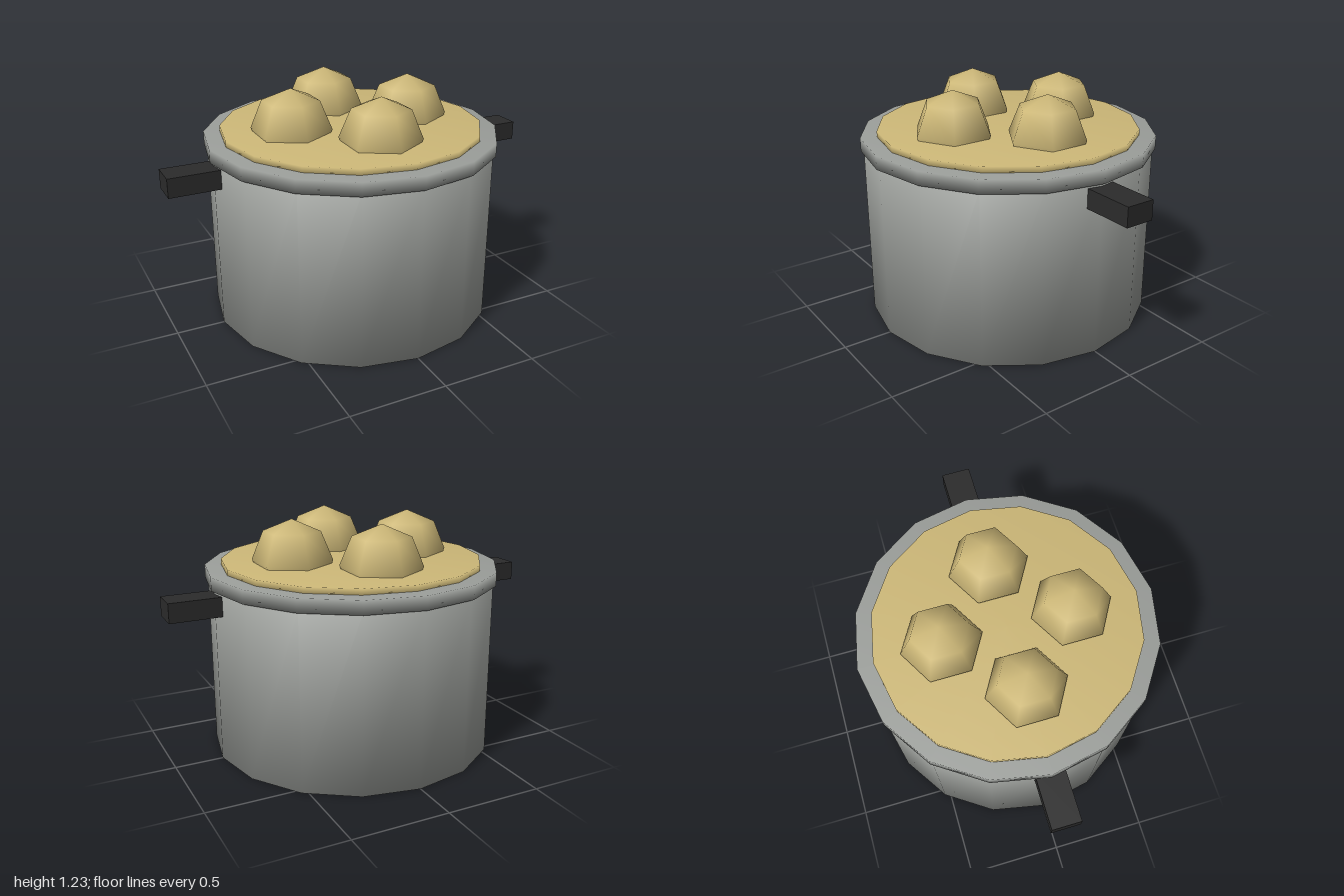
import * as THREE from 'three';
import { mergeVertices } from 'three/addons/utils/BufferGeometryUtils.js';

const mat = (name, color) => {
  const m = new THREE.MeshStandardMaterial({ color });
  m.name = name;
  return m;
};

// Cylinder with normals shared between wall and caps, standing from y0 to y1
function softDrum(radius, y0, y1) {
  let g = new THREE.CylinderGeometry(radius, radius, y1 - y0, 16);
  g.deleteAttribute('uv');
  g.deleteAttribute('normal');
  g = mergeVertices(g);
  g.computeVertexNormals();
  return g.translate(0, (y0 + y1) / 2, 0);
}

export function createModel() {
  const steel = mat('steel grey', 0x9b9e9a);
  const stew = mat('stew tan', 0xcdb878);
  const black = mat('handle black', 0x2b2b2b);

  const pot = new THREE.Group();
  pot.name = 'stewPot';
  const add = (name, geometry, material, x = 0, y = 0, z = 0) => {
    const mesh = new THREE.Mesh(geometry, material);
    mesh.name = name;
    mesh.position.set(x, y, z);
    pot.add(mesh);
    return mesh;
  };

  // Pot wall, rim and the filling on top
  add('potBody', softDrum(0.75, 0, 0.91), steel);
  add('rim', softDrum(0.765, 0.9, 0.97), steel);
  add('filling', softDrum(0.68, 0.95, 1.0), stew);

  // Side handles
  const handle = new THREE.BoxGeometry(0.3, 0.1, 0.15);
  add('leftHandle', handle, black, 0.85, 0.835, 0);
  add('rightHandle', handle, black, -0.85, 0.835, 0);

  // Four six-sided dumplings, half sunk in the filling
  const dumpling = new THREE.SphereGeometry(0.208, 6, 4).rotateY(Math.PI / 2);
  for (let i = 0; i < 4; i++) {
    const a = (i * Math.PI) / 2;
    add('dumpling' + (i + 1), dumpling, stew, 0.333 * Math.cos(a), 1.017, 0.333 * Math.sin(a));
  }
  return pot;
}
